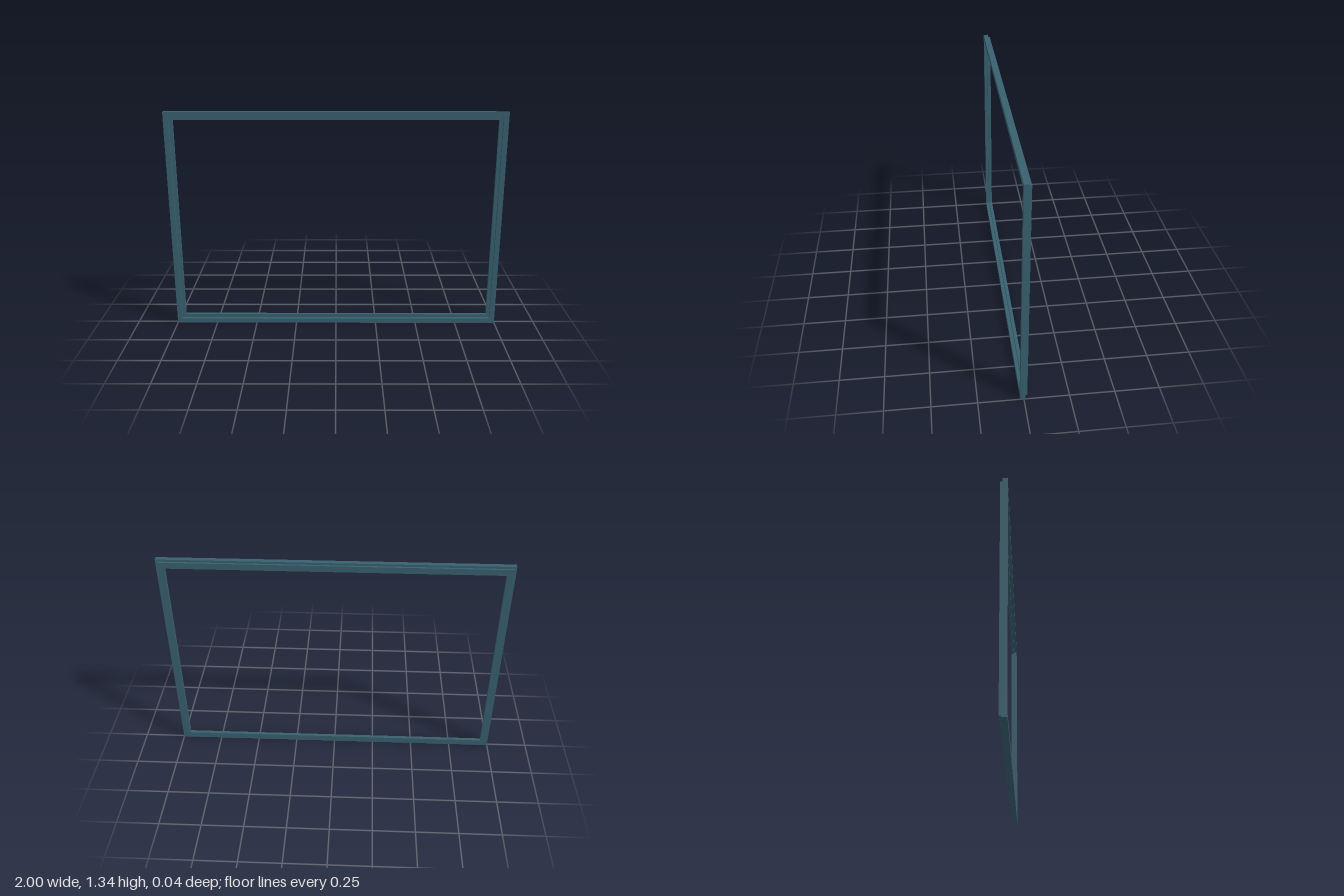
import * as THREE from 'three';

const HALF_W = 1, HEIGHT = 1.342;

// Rail cross-section as [inset from the outer edge, z]
const PROFILE = [
  [0, 0.02], [0.03, 0.02],            // front face
  [0.03, 0], [0.05, 0],               // rebate step
  [0.05, -0.02], [0.013, -0.02],      // inner edge and back face
  [0.013, -0.008], [0, -0.008],       // outer step at the back
];

// Corners in order around the frame, seen from the front
const CORNERS = [[-1, -1], [1, -1], [1, 1], [-1, 1]];
const NAMES = ['bottomRail', 'leftStile', 'topRail', 'rightStile'];

function mitrePoint([sx, sy], [inset, z]) {
  return [sx * (HALF_W - inset), HEIGHT / 2 + sy * (HEIGHT / 2 - inset), z];
}

// One side of the frame: the profile swept between two mitred corners
function railGeometry(from, to) {
  const positions = [];
  PROFILE.forEach((p, j) => {
    const q = PROFILE[(j + 1) % PROFILE.length];
    const a = mitrePoint(from, p), b = mitrePoint(to, p);
    const c = mitrePoint(to, q), d = mitrePoint(from, q);
    positions.push(...a, ...b, ...c, ...a, ...c, ...d);
  });
  const geometry = new THREE.BufferGeometry();
  geometry.setAttribute('position', new THREE.Float32BufferAttribute(positions, 3));
  geometry.computeVertexNormals();
  return geometry;
}

export function createModel() {
  const model = new THREE.Group();
  model.name = 'frame';
  const paint = new THREE.MeshStandardMaterial({ color: 0x38606f });
  NAMES.forEach((name, i) => {
    const rail = new THREE.Mesh(railGeometry(CORNERS[i], CORNERS[(i + 1) % 4]), paint);
    rail.name = name;
    model.add(rail);
  });
  return model;
}
